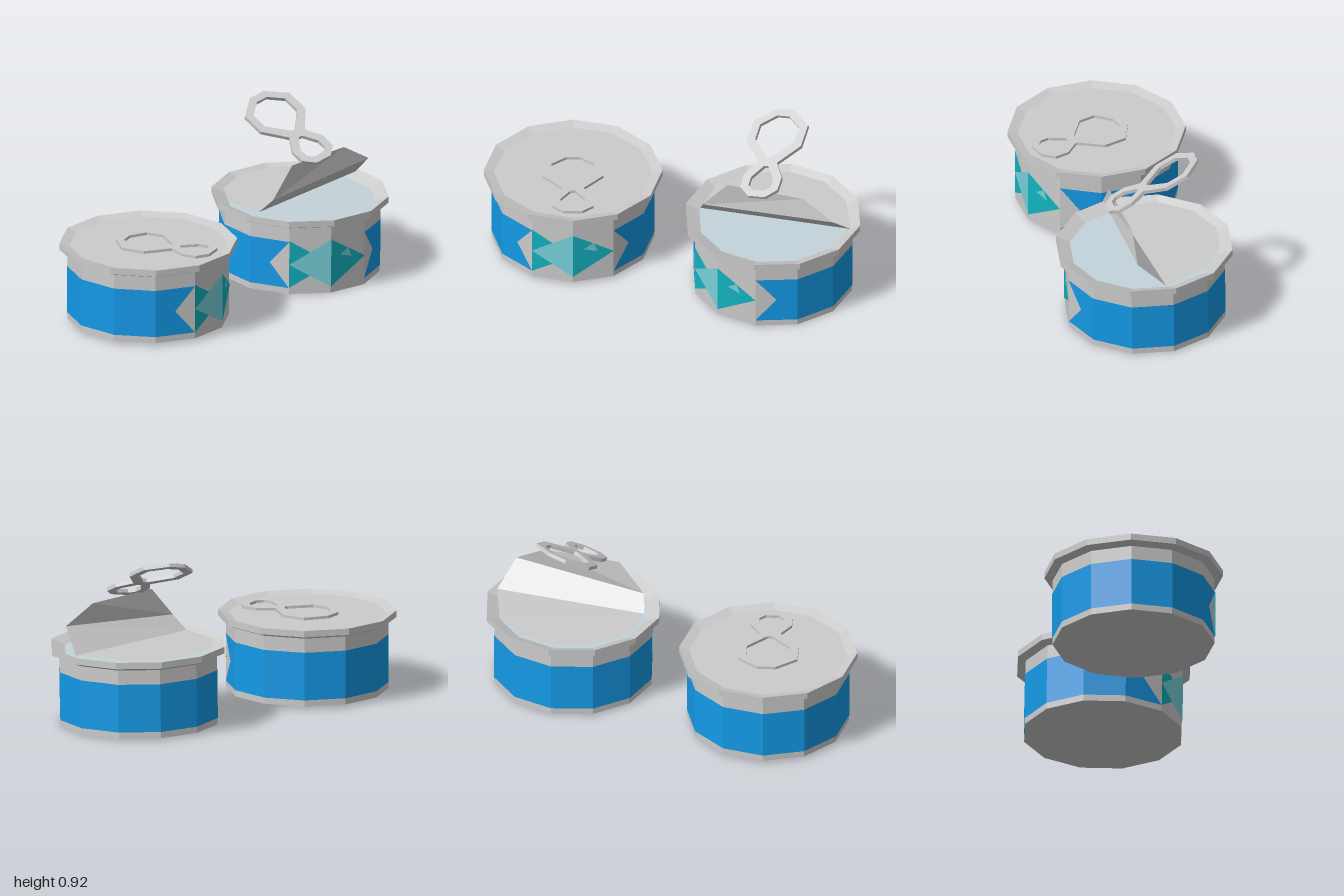
import * as THREE from 'three';

const R = 0.43, STEP = Math.PI / 6;
const mat = (color) => new THREE.MeshStandardMaterial({ color, flatShading: true, side: THREE.DoubleSide });
const metal = mat(0xcccccc), blue = mat(0x1499e6), teal = mat(0x12b2c0), paleTeal = mat(0x78d2da), filling = mat(0xc4d4da);

function add(parent, name, geometry, material) {
  const mesh = new THREE.Mesh(geometry, material);
  mesh.name = name;
  parent.add(mesh);
  return mesh;
}

// Flat polygon laid on the twelve-sided wall: u counts facets from the label centre, y is height
function panel(parent, name, points, material, lift) {
  const g = new THREE.ShapeGeometry(new THREE.Shape(points.map(([u, y]) => new THREE.Vector2(u, y))));
  const p = g.attributes.position;
  const k = Math.floor(Math.min(...points.map((q) => q[0])));
  const r = R + lift;
  for (let i = 0; i < p.count; i++) {
    const t = p.getX(i) - k, a = k * STEP, b = a + STEP;
    p.setXYZ(i,
      r * ((1 - t) * Math.cos(a) + t * Math.cos(b)),
      p.getY(i),
      -r * ((1 - t) * Math.sin(a) + t * Math.sin(b)));
  }
  g.computeVertexNormals();
  add(parent, name, g, material);
}

function makeCan(name, open) {
  const can = new THREE.Group();
  can.name = name;

  // Body, rim and recessed top in one profile
  const profile = [[0, 0], [R, 0], [R, 0.371], [0.473, 0.388], [0.473, 0.423]];
  profile.push(...(open ? [[0.4, 0.392]] : [[0.42, 0.408], [0, 0.408]]));
  add(can, 'canBody', new THREE.LatheGeometry(profile.map(([x, y]) => new THREE.Vector2(x, y)), 12), metal);

  if (open) {
    const food = new THREE.CircleGeometry(0.4, 12).rotateX(-Math.PI / 2);
    add(can, 'filling', food, filling).position.y = 0.392;
  }

  // Blue band, notched on both sides of the label window
  const lo = 0.034, hi = 0.294, mid = 0.165;
  for (let k = 1; k < 11; k++) {
    const pts = [[k, lo], [k + 1, lo]];
    if (k === 10) pts.push([k + 0.5, mid]);
    pts.push([k + 1, hi], [k, hi]);
    if (k === 1) pts.push([k + 0.5, mid]);
    panel(can, 'blueBand', pts, blue, 0.002);
  }

  // Fish on the label
  panel(can, 'fishBody', [[-1, mid], [0, 0.035], [0, 0.3]], paleTeal, 0.004);
  panel(can, 'fishHead', [[0, 0.035], [1, mid], [0, 0.3]], teal, 0.004);
  panel(can, 'fishTailUpper', [[-1, mid], [-0.5, 0.2325], [-1, 0.3]], teal, 0.003);
  panel(can, 'fishTailLower', [[-1, 0.035], [-0.5, 0.1], [-1, mid]], teal, 0.003);
  panel(can, 'fishEye', [[0.27, 0.205], [0.6, 0.18], [0.5, 0.235]], paleTeal, 0.006);
  return can;
}

// Closed outline mirrored across the x axis
function mirrored(half, Type) {
  const other = half.filter((q) => q[1] !== 0).map(([x, y]) => [x, -y]).reverse();
  return new Type([...half, ...other].map(([x, y]) => new THREE.Vector2(x, y)));
}

// Figure-eight pull tab
function makeTab() {
  const shape = mirrored([[-0.325, 0.05], [-0.24, 0.16], [-0.11, 0.16], [0.005, 0.055],
    [0.09, 0.11], [0.17, 0.11], [0.22, 0.05]], THREE.Shape);
  shape.holes.push(
    mirrored([[-0.283, 0.035], [-0.22, 0.115], [-0.128, 0.115], [-0.025, 0.012]], THREE.Path),
    mirrored([[0.03, 0.012], [0.105, 0.065], [0.153, 0.065], [0.18, 0.035]], THREE.Path));
  return new THREE.ExtrudeGeometry(shape, { depth: 0.02, bevelEnabled: false }).rotateX(-Math.PI / 2);
}

// Torn lid: flat part, then two panels bent upwards
function makeLid() {
  const near = [[0.14, 0.428, -0.155], [0.22, 0.505, -0.165], [0.27, 0.665, -0.297]];
  const far = [[0.335, 0.428, -0.95], [0.455, 0.553, -0.857], [0.385, 0.655, -0.7]];
  const pos = [], ring = [near[0]];
  for (let d = 132.3; d < 260; d += 30) {
    const a = THREE.MathUtils.degToRad(d);
    ring.push([0.2 + 0.405 * Math.cos(a), 0.43, -0.538 + 0.405 * Math.sin(a)]);
  }
  ring.push(far[0]);
  for (let i = 1; i < ring.length - 1; i++) pos.push(...ring[0], ...ring[i], ...ring[i + 1]);
  for (let i = 0; i < 2; i++) {
    pos.push(...near[i], ...far[i], ...far[i + 1], ...near[i], ...far[i + 1], ...near[i + 1]);
  }
  const g = new THREE.BufferGeometry();
  g.setAttribute('position', new THREE.Float32BufferAttribute(pos, 3));
  g.computeVertexNormals();
  return g;
}

export function createModel() {
  const model = new THREE.Group();
  model.name = 'foodCans';

  const closed = makeCan('closedCan', false);
  closed.position.set(-0.19, 0.017, 0.522);
  add(closed, 'pullTab', makeTab(), metal).position.set(0.16, 0.403, 0);
  model.add(closed);

  // Open can, turned and leaning slightly
  const open = makeCan('openCan', true);
  open.position.set(0.198, 0.007, -0.538);
  open.rotation.set(0, THREE.MathUtils.degToRad(-42.3), -0.014, 'ZYX');
  model.add(open);

  add(model, 'openLid', makeLid(), metal);

  // Raised tab standing on the lifted edge of the lid
  const tab = add(model, 'raisedPullTab', makeTab(), metal);
  const x = new THREE.Vector3(0.85, -0.443, 0.284).normalize();
  const y = new THREE.Vector3(-0.39, -0.18, 0.9).cross(x).normalize();
  const z = x.clone().cross(y);
  tab.quaternion.setFromRotationMatrix(new THREE.Matrix4().makeBasis(x, y, z));
  tab.position.set(0.19, 0.75, -0.517);
  return model;
}
